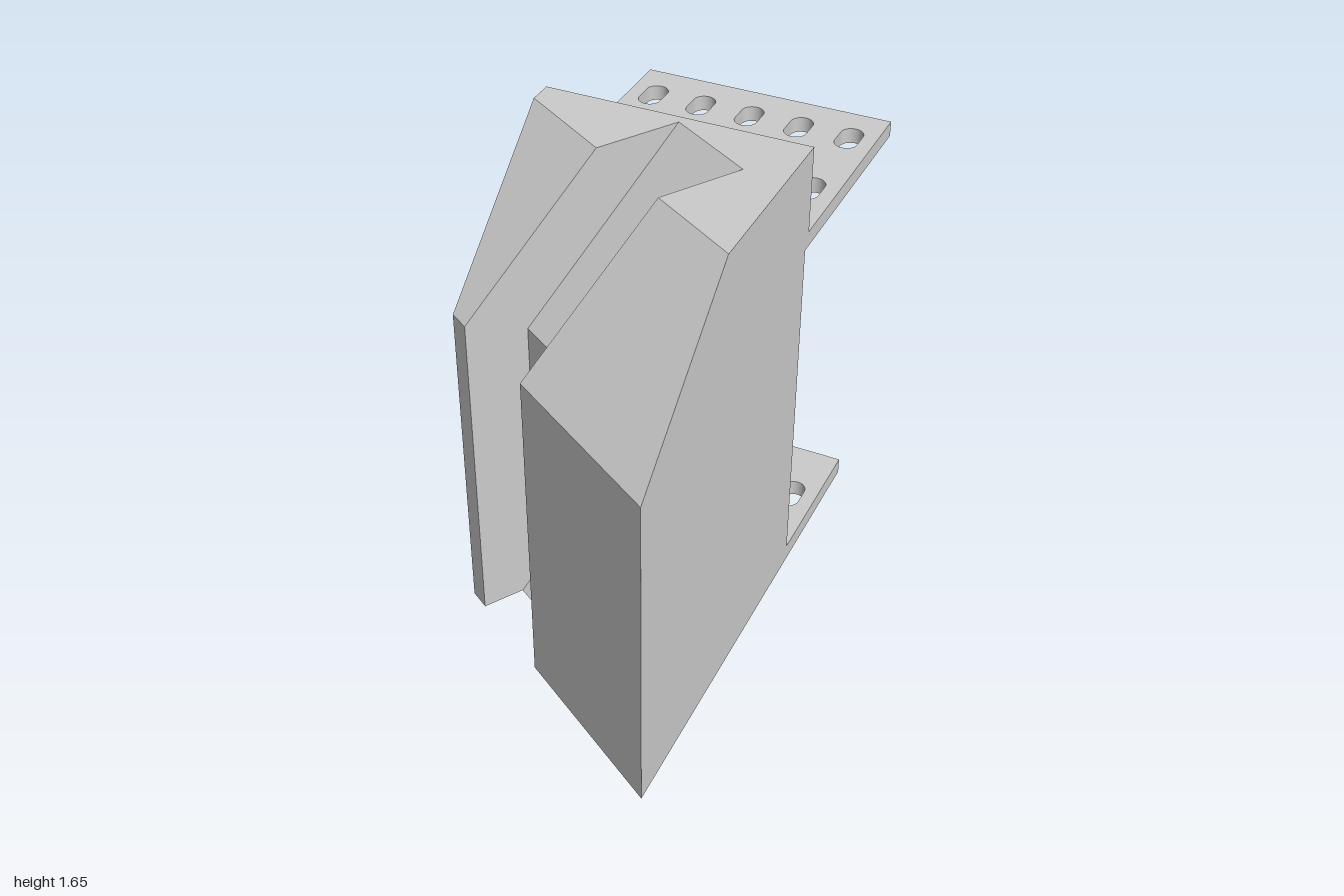
import * as THREE from 'three';

const HALF = 0.455;                       // half width in x
const SLOPE = 0.626, FRONT = 0.715;       // slanted front line: z = FRONT + SLOPE * x
const LEN = Math.hypot(1, SLOPE);
const IN_X = SLOPE / LEN, IN_Z = -1 / LEN; // horizontal direction into the body

const ramp = (y, y0, y1, a, b) => THREE.MathUtils.mapLinear(THREE.MathUtils.clamp(y, y0, y1), y0, y1, a, b);
// how far the front face and the channel floor lie behind the front line at height y
const frontDepth = y => ramp(y, 1.175, 1.65, 0, 0.479);
const channelDepth = y => (y < 0.07 ? ramp(y, 0, 0.07, 0.148, 0.217) : ramp(y, 1.085, 1.65, 0.217, 0.777));

// footprint of the body at height y, as [x, z] corners
function footprint(y, back) {
  const f = frontDepth(y), c = channelDepth(y);
  const at = (x, d) => [x + IN_X * d, FRONT + SLOPE * x + IN_Z * d];
  const side = x => [x, FRONT + SLOPE * x - f * LEN];
  return [[HALF, back], side(HALF), at(-0.1, f), at(-0.1, c),
    at(-0.39, c), at(-0.39, f), side(-HALF), [-HALF, back]];
}

// body lofted through its footprints, closed at both ends
function bodyGeometry() {
  const levels = [[0, -0.195], [0.07, -0.195], [1.085, -0.195], [1.175, -0.195],
    [1.35, -0.195], [1.35, -0.22], [1.65, -0.22]];
  const rings = levels.map(([y, back]) => footprint(y, back).map(([x, z]) => new THREE.Vector3(x, y, z)));
  const pos = [];
  const tri = (...p) => p.forEach(v => pos.push(v.x, v.y, v.z));
  for (let k = 0; k < rings.length - 1; k++) {
    const lo = rings[k], hi = rings[k + 1];
    for (let i = 0; i < lo.length; i++) {
      const j = (i + 1) % lo.length;
      if (lo[i].distanceTo(hi[i]) + lo[j].distanceTo(hi[j]) < 1e-6) continue;
      tri(lo[j], lo[i], hi[i]);
      tri(lo[j], hi[i], hi[j]);
    }
  }
  const cap = (ring, up) => {
    const flat = ring.map(v => new THREE.Vector2(v.x, v.z));
    for (const [a, b, c] of THREE.ShapeUtils.triangulateShape(flat, [])) {
      const facesUp = THREE.ShapeUtils.area([flat[a], flat[b], flat[c]]) < 0;
      if (facesUp === up) tri(ring[a], ring[b], ring[c]);
      else tri(ring[a], ring[c], ring[b]);
    }
  };
  cap(rings[0], false);
  cap(rings[rings.length - 1], true);
  const geo = new THREE.BufferGeometry();
  geo.setAttribute('position', new THREE.Float32BufferAttribute(pos, 3));
  geo.computeVertexNormals();
  return geo;
}

// mounting plate with rows of slotted holes, reaching back to zEnd
function plateGeometry(zEnd, thickness, rows) {
  const start = 0.195, end = -zEnd;       // shape y is -z
  const shape = new THREE.Shape([[-HALF, start], [HALF, start], [HALF, end], [-HALF, end]]
    .map(p => new THREE.Vector2(...p)));
  const r = 0.04, straight = 0.03;
  for (const z of rows) {
    for (let i = -2; i <= 2; i++) {
      const x = i * 0.182, hole = new THREE.Path();
      hole.absarc(x, -z + straight, r, 0, Math.PI, false);
      hole.absarc(x, -z - straight, r, Math.PI, Math.PI * 2, false);
      hole.closePath();
      shape.holes.push(hole);
    }
  }
  const geo = new THREE.ExtrudeGeometry(shape, { depth: thickness, bevelEnabled: false, curveSegments: 10 });
  return geo.rotateX(-Math.PI / 2);
}

export function createModel() {
  const group = new THREE.Group();
  group.name = 'slottedBracket';
  const material = new THREE.MeshStandardMaterial({ color: 0xcccccc });
  const add = (name, geo, y = 0) => {
    const mesh = new THREE.Mesh(geo, material);
    mesh.name = name;
    mesh.position.y = y;
    group.add(mesh);
  };
  add('body', bodyGeometry());
  add('upperPlate', plateGeometry(-1, 0.055, [-0.83, -0.467]), 1.295);
  add('lowerPlate', plateGeometry(-0.725, 0.06, [-0.467]));
  return group;
}
